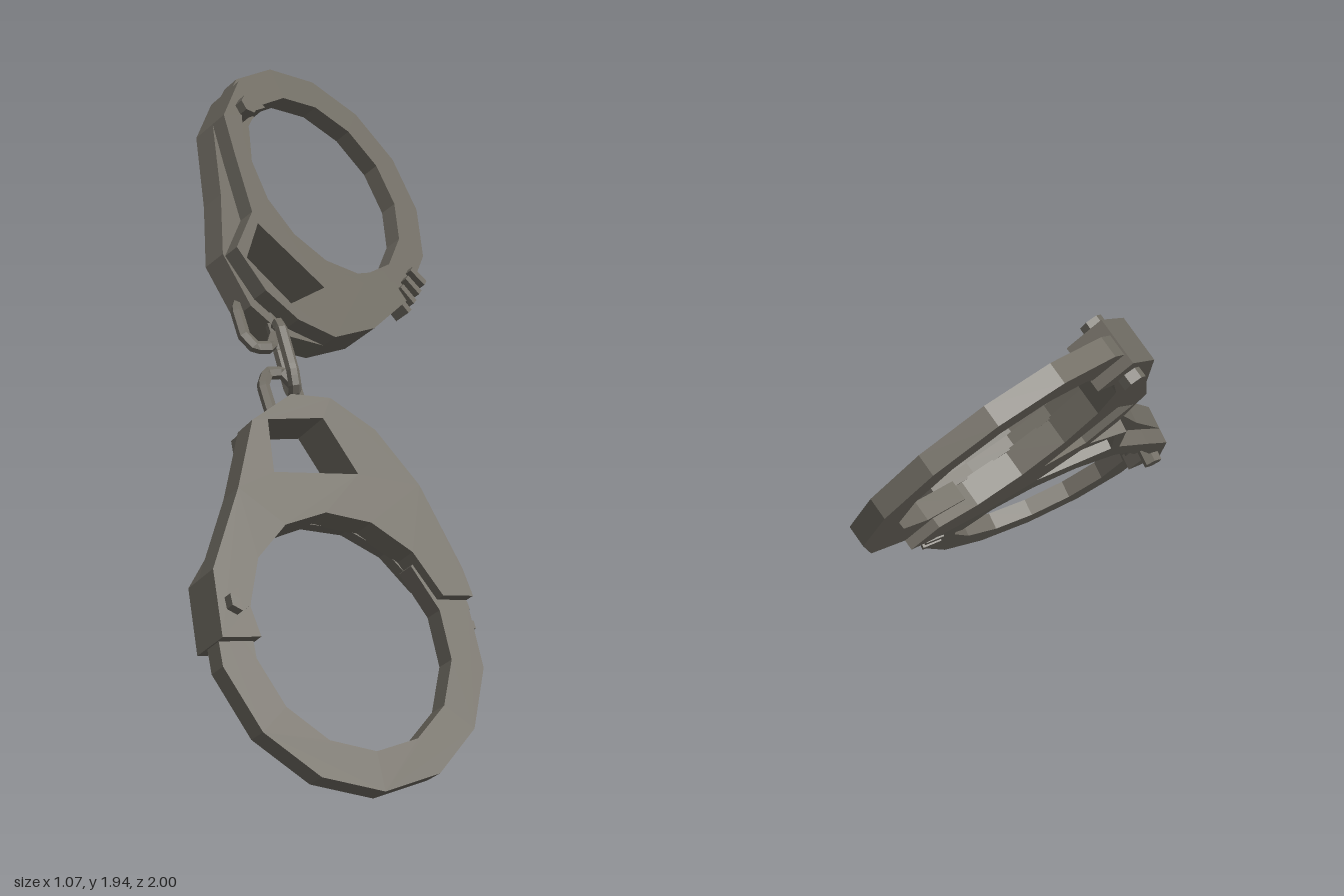
import * as THREE from 'three';

const metal = new THREE.MeshStandardMaterial({ color: 0x716d64 });
metal.name = 'dull steel';
metal.flatShading = true;

const V = (x, y, z) => new THREE.Vector3(x, y, z);

// Points of an arc, angles in degrees
function arc(radius, from, to, steps, cy = 0) {
  const pts = [];
  for (let i = 0; i <= steps; i++) {
    const a = THREE.MathUtils.degToRad(from + (to - from) * i / steps);
    pts.push(new THREE.Vector2(radius * Math.cos(a), radius * Math.sin(a) + cy));
  }
  return pts;
}

const points = list => list.map(([x, y]) => new THREE.Vector2(x, y));

// Flat plate between two depths
function plate(name, outline, z0, z1, hole) {
  const shape = new THREE.Shape(outline);
  if (hole) shape.holes.push(new THREE.Path(hole));
  const geo = new THREE.ExtrudeGeometry(shape, { depth: z1 - z0, bevelEnabled: false });
  geo.translate(0, 0, z0);
  const mesh = new THREE.Mesh(geo, metal);
  mesh.name = name;
  return mesh;
}

// One cuff: +y points to the chain, +z is the plain face
function makeCuff(name) {
  const cuff = new THREE.Group();
  cuff.name = name;

  // Swinging bow
  cuff.add(plate('bow', [...arc(0.46, 165, 398, 9, -0.015), ...arc(0.345, 398, 165, 9, -0.015)], -0.075, -0.012));

  // Body with the chain window
  const windowHole = points([[-0.145, 0.645], [0.055, 0.66], [0.135, 0.478], [-0.165, 0.474]]);
  const shoulder = [[0.355, 0.45], [0.24, 0.63]];
  const hingeEnd = [[-0.44, 0.17], [-0.455, -0.03], [-0.33, -0.03]];
  cuff.add(plate('bodyPlainHalf',
    [...points([[0.45, 0.09], [0.437, 0.18], ...shoulder, [0.1, 0.73], [-0.04, 0.735], [-0.2, 0.64], [-0.3, 0.42], ...hingeEnd]),
      ...arc(0.35, 170, 15, 6)],
    -0.065, 0.02, windowHole));

  // Stepped half: shorter arm, cut-away at the hinge side and a lower rim round the opening
  cuff.add(plate('bodySteppedHalf',
    [...points([[0.427, 0.21], ...shoulder, [0.1, 0.695], [-0.04, 0.7], [-0.19, 0.64], [-0.2, 0.45], [-0.34, 0.29], ...hingeEnd]),
      ...arc(0.4, 166, 27, 6)],
    -0.122, -0.065, windowHole));
  cuff.add(plate('innerRim', [...arc(0.41, 25, 165, 6), ...arc(0.35, 165, 25, 6)], -0.1, -0.06));

  // Hinge bolt
  const bolt = new THREE.Mesh(new THREE.CylinderGeometry(0.034, 0.034, 0.205, 6), metal);
  bolt.name = 'hingeBolt';
  bolt.rotation.x = Math.PI / 2;
  bolt.position.set(-0.393, 0.068, -0.051);
  cuff.add(bolt);

  // Ratchet teeth
  for (let i = 0; i < 4; i++) {
    const b = 0.02 + i * 0.06;
    const tooth = new THREE.Mesh(new THREE.BoxGeometry(0.07, 0.026, 0.06), metal);
    tooth.name = 'ratchetTooth';
    tooth.position.set(0.447 - b * 0.08, b, -0.07);
    tooth.rotation.z = 0.05 + b;
    cuff.add(tooth);
  }
  return cuff;
}

// Set position and axes from the plain-face normal and the chain direction
function orient(object, origin, normal, up) {
  const n = normal.clone().normalize();
  const w = up.clone().cross(n).normalize();
  const v = n.clone().cross(w);
  object.quaternion.setFromRotationMatrix(new THREE.Matrix4().makeBasis(w, v, n));
  object.position.copy(origin);
}

// Angular oval chain link, long along y
function makeLink(halfLength) {
  const r = 0.052, s = halfLength - r;
  const pts = [
    ...arc(r, 0, 180, 3, s).map(p => V(p.x, p.y, 0)),
    ...arc(r, 180, 360, 3, -s).map(p => V(p.x, p.y, 0)),
  ];
  const path = new THREE.CurvePath();
  pts.forEach((p, i) => path.add(new THREE.LineCurve3(p, pts[(i + 1) % pts.length])));
  const link = new THREE.Mesh(new THREE.TubeGeometry(path, 40, 0.02, 6, true), metal);
  link.name = 'chainLink';
  return link;
}

export function createModel() {
  const model = new THREE.Group();
  model.name = 'handcuffs';

  const lower = makeCuff('lowerCuff');
  orient(lower, V(-0.063, 0.431, 0.672), V(0.37, 0.58, 0.72), V(-0.08, 0.795, -0.6));
  const upper = makeCuff('upperCuff');
  orient(upper, V(0.11, 1.522, -0.649), V(-0.53, -0.56, -0.63), V(-0.448, -0.449, 0.774));
  model.add(lower, upper);

  // Chain of three links, each turned a quarter against the last
  const chain = new THREE.Group();
  chain.name = 'chain';
  const start = V(-0.137, 0.953, 0.207), dir = V(-0.05, 0.28, -0.29).normalize();
  [[0.07, 0.1, -0.01], [0.215, 0.13, 0.04], [0.36, 0.1, -0.015]].forEach(([s, half, shift], i) => {
    const link = makeLink(half);
    const centre = start.clone().addScaledVector(dir, s);
    centre.x += shift;
    orient(link, centre, i === 1 ? V(1, 0.1, 0) : V(0.2, 0.7, 0.7), dir);
    chain.add(link);
  });
  model.add(chain);
  return model;
}
